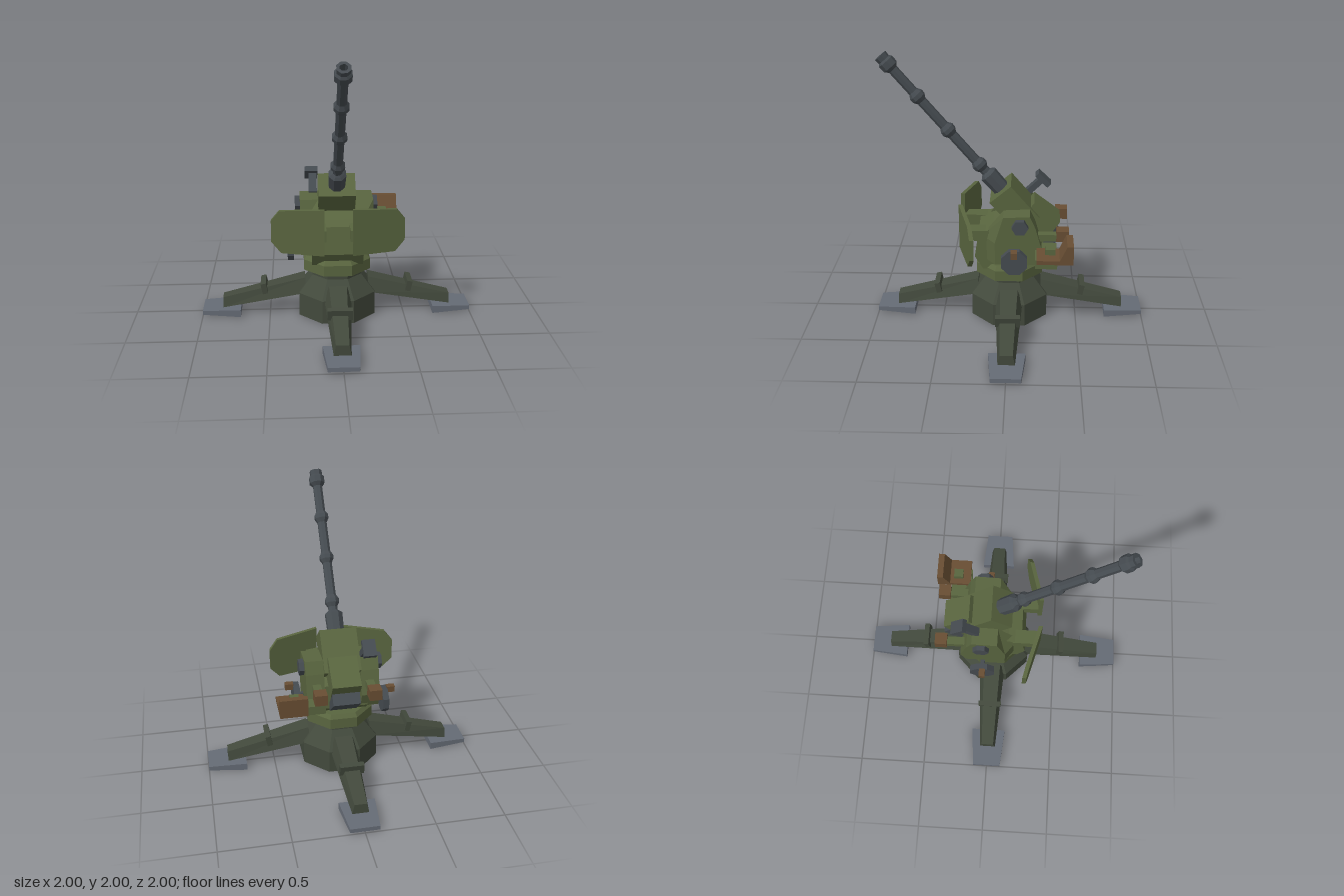
import * as THREE from 'three';

const mat = (name, color) => {
  const m = new THREE.MeshStandardMaterial({ color });
  m.name = name;
  return m;
};

// faceted normals for a low-poly look
function flat(geo) {
  const g = geo.index ? geo.toNonIndexed() : geo;
  g.computeVertexNormals();
  return g;
}

// move every vertex by a rule
function warp(geo, rule) {
  const p = geo.attributes.position;
  const v = new THREE.Vector3();
  for (let i = 0; i < p.count; i++) {
    rule(v.fromBufferAttribute(p, i));
    p.setXYZ(i, v.x, v.y, v.z);
  }
  return flat(geo);
}

// side profile of [z, y] points, extruded from x0 to x1
function profileX(points, x0, x1) {
  const shape = new THREE.Shape(points.map(([z, y]) => new THREE.Vector2(-z, y)));
  const g = new THREE.ExtrudeGeometry(shape, { depth: x1 - x0, bevelEnabled: false });
  return g.rotateY(Math.PI / 2).translate(x0, 0, 0);
}

// eight-sided turned part; points are [distance to flat side, height]
function octLathe(points) {
  const k = 1 / Math.cos(Math.PI / 8);
  return flat(new THREE.LatheGeometry(points.map(([r, y]) => new THREE.Vector2(r * k, y)), 8, Math.PI / 8));
}

export function createModel() {
  const root = new THREE.Group();
  root.name = 'fieldGun';
  const olive = mat('olive green', 0x59653f);
  const dark = mat('dark olive', 0x42493c);
  const metal = mat('gunmetal', 0x454b50);
  const grey = mat('pad grey', 0x656b75);
  const brown = mat('brown', 0x684e33);

  const add = (name, geo, material, parent = root) => {
    const m = new THREE.Mesh(geo, material);
    m.name = name;
    parent.add(m);
    return m;
  };
  // box given by its limits
  const block = (name, material, x0, x1, y0, y1, z0, z1, parent = root) => add(name,
    new THREE.BoxGeometry(x1 - x0, y1 - y0, z1 - z0)
      .translate((x0 + x1) / 2, (y0 + y1) / 2, (z0 + z1) / 2), material, parent);

  // pedestal and turntable
  add('pedestal', octLathe([[0, 0.005], [0.28, 0.005], [0.28, 0.18], [0.18, 0.31], [0.18, 0.37]]), dark);
  add('turntable', octLathe([[0, 0.36], [0.243, 0.36], [0.243, 0.44], [0.22, 0.47], [0, 0.47]]), olive);

  // four outriggers with strap and foot pad
  const lerp = THREE.MathUtils.lerp;
  for (let i = 0; i < 4; i++) {
    const leg = new THREE.Group();
    leg.name = 'outrigger';
    leg.rotation.y = i * Math.PI / 2;
    root.add(leg);
    add('outriggerBeam', warp(new THREE.BoxGeometry(1, 1, 1), v => {
      const t = v.x + 0.5, top = v.y > 0, side = Math.sign(v.z);
      v.x = lerp(0.235, 0.85, t);
      v.y = top ? lerp(0.28, 0.125, t) : lerp(0.17, 0.05, t);
      v.z = side * (top ? lerp(0.065, 0.045, t) : lerp(0.1, 0.06, t));
    }), dark, leg);
    const strap = add('outriggerStrap', new THREE.BoxGeometry(0.04, 0.08, 0.176), dark, leg);
    strap.position.set(0.54, 0.205, 0);
    strap.rotation.z = -0.2;
    add('footPad', warp(new THREE.BoxGeometry(1, 1, 1), v => {
      const t = v.x + 0.5, top = v.y > 0;
      v.x = lerp(0.717, 1, t);
      v.y = top ? lerp(0.055, 0.045, t) : lerp(0, 0.014, t);
      v.z = Math.sign(v.z) * lerp(0.13, 0.105, t);
    }), grey, leg);
  }

  // carriage body
  add('carriageBody', profileX([[0.19, 0.43], [0.25, 0.53], [0.22, 0.73], [0.12, 0.75], [0, 0.79],
    [-0.2, 0.7], [-0.21, 0.52], [-0.12, 0.44]], -0.185, 0.185), olive);

  const cheek = [[0.04, 0.88], [-0.15, 0.89], [-0.19, 0.8], [-0.24, 0.62], [-0.2, 0.51], [0.2, 0.51], [0.2, 0.68]];
  const shield = [[0.1, 0.565], [0.405, 0.565], [0.475, 0.645], [0.475, 0.8], [0.415, 0.877], [0.1, 0.905]];
  for (const s of [1, -1]) {
    const side = s > 0 ? 'left' : 'right';
    const span = (a, b) => (s > 0 ? [a, b] : [-b, -a]);

    // trunnion cheek, its outer face set back at the front
    add(side + 'Cheek', warp(profileX(cheek, ...span(0.135, 0.268)), v => {
      if (Math.abs(v.x) > 0.2 && v.z > 0.1) v.z -= 0.1;
    }), olive);
    const cap = add(side + 'TrunnionCap', flat(new THREE.CylinderGeometry(0.06, 0.06, 0.06, 6)), metal);
    cap.rotation.z = Math.PI / 2;
    cap.position.set(s * 0.275, 0.815, -0.08);

    // swept shield and its bracket
    const outline = new THREE.Shape(shield.map(([x, y]) => new THREE.Vector2(s * x, y)));
    add(side + 'Shield', warp(new THREE.ExtrudeGeometry(outline, { depth: 0.03, bevelEnabled: false }), v => {
      v.z += 0.338 - (Math.abs(v.x) - 0.1) * 0.27;
    }), olive);
    block(side + 'ShieldBracket', olive, ...span(0.085, 0.19), 0.66, 0.74, 0.15, 0.335);

    // grip on a short arm
    block(side + 'GripArm', olive, ...span(0.165, 0.225), 0.68, 0.73, -0.35, -0.12);
    block(side + 'Grip', brown, ...span(0.15, 0.24), 0.685, 0.765, -0.43, -0.34);

    // handwheel with axle and knob
    const [wx, wy, wz] = s > 0 ? [0.322, 0.56, -0.04] : [-0.34, 0.475, -0.07];
    const wheel = new THREE.Group();
    wheel.name = side + 'Handwheel';
    wheel.position.set(wx, wy, wz);
    root.add(wheel);
    const disc = add('wheelDisc', flat(new THREE.CylinderGeometry(0.1, 0.1, 0.046, 8, 1, false, Math.PI / 8)), metal, wheel);
    disc.rotation.z = Math.PI / 2;
    block('wheelAxle', metal, ...span(-0.18, 0), -0.016, 0.016, -0.016, 0.016, wheel);
    block('wheelKnob', brown, ...span(0.02, 0.08), 0.06, 0.106, -0.022, 0.024, wheel);
  }

  // elevated gun: local +y runs along the barrel
  const gun = new THREE.Group();
  gun.name = 'gun';
  gun.position.set(0, 1.0, 0.065);
  gun.rotation.x = 0.702;
  root.add(gun);
  block('cradleHead', olive, -0.135, 0.135, -0.32, 0, -0.1, 0.1, gun);
  block('cradleRear', olive, -0.1, 0.1, -0.5, -0.3, -0.095, 0.095, gun);
  block('breechBlock', metal, -0.1, 0.1, -0.56, -0.47, -0.1, 0.1, gun);

  const r = 0.033;
  const barrel = [[0.058, -0.02], [0.062, 0.14], [0.046, 0.155], [r, 0.165]];
  for (const c of [0.236, 0.577, 0.9]) {
    barrel.push([r, c - 0.045], [0.05, c - 0.015], [0.05, c + 0.015], [r, c + 0.045]);
  }
  barrel.push([r, 1.15], [0.055, 1.175], [0.055, 1.225], [0.042, 1.24], [0.045, 1.277],
    [0.025, 1.277], [0.025, 1.2], [0, 1.2]);
  add('barrel', octLathe(barrel), metal, gun);

  // rear cover plate above the breech
  add('breechCover', profileX([[-0.13, 0.86], [-0.18, 0.925], [-0.37, 0.78], [-0.29, 0.66], [-0.1, 0.7]], -0.105, 0.105), olive);

  // sight on the right side
  const shaft = add('sightShaft', new THREE.BoxGeometry(0.06, 0.19, 0.045), metal);
  shaft.position.set(-0.17, 0.95, -0.18);
  shaft.rotation.x = -0.8;
  const head = add('sightHead', new THREE.BoxGeometry(0.095, 0.125, 0.04), metal);
  head.position.set(-0.18, 1.005, -0.245);
  head.rotation.x = 0.8;

  // gunner's seat with support arm and small control box
  add('seat', profileX([[-0.2, 0.63], [-0.455, 0.63], [-0.455, 0.768], [-0.41, 0.768], [-0.36, 0.66], [-0.2, 0.66]], 0.293, 0.49), brown);
  block('seatArm', olive, 0.15, 0.43, 0.565, 0.632, -0.345, -0.19);
  block('controlBox', olive, 0.335, 0.4, 0.655, 0.7, -0.33, -0.26);

  return root;
}
